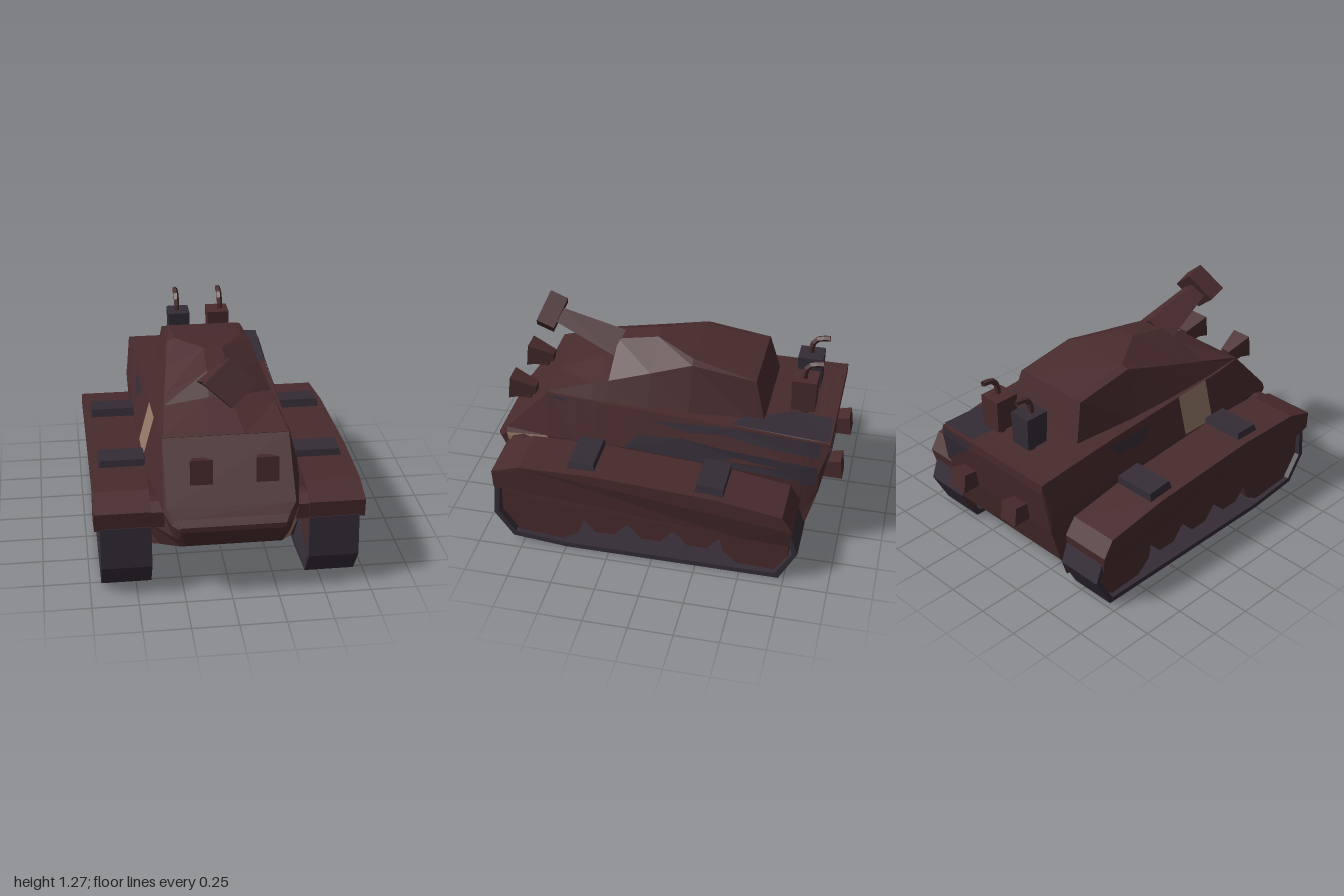
import * as THREE from 'three';

const paint = (name, color) => {
  const m = new THREE.MeshStandardMaterial({ color, flatShading: true, side: THREE.DoubleSide });
  m.name = name;
  return m;
};

export function createModel() {
  const root = new THREE.Group();
  const brown = paint('rust brown', 0x482b2d);
  const purple = paint('dark purple', 0x342c36);
  const tan = paint('tan', 0x957a68);
  const grey = paint('metal grey', 0xa6a6a0);

  const add = (name, geo, mat, x = 0, y = 0, z = 0) => {
    const g = geo.index ? geo.toNonIndexed() : geo;
    g.computeVertexNormals();
    const m = new THREE.Mesh(g, mat);
    m.name = name;
    m.position.set(x, y, z);
    root.add(m);
    return m;
  };

  // Mirrored cross-sections joined from back to front; each is [z, [x, y], ...] from bottom to top.
  // The rule gives each quad a material index, or -1 for an opening.
  const loft = (stations, rule = () => 0) => {
    const rings = stations.map(([z, ...h]) => [
      ...h.map(([x, y]) => [x, y, z]),
      ...h.slice().reverse().map(([x, y]) => [-x, y, z]),
    ]);
    const n = rings[0].length, idx = [], g = new THREE.BufferGeometry();
    const face = (mat, ...corners) => {
      g.addGroup(idx.length, corners.length, mat);
      idx.push(...corners);
    };
    for (let i = 0; i < rings.length - 1; i++)
      for (let j = 0; j < n; j++) {
        const a = i * n + j, b = i * n + (j + 1) % n, mat = rule(stations[i][0], j);
        if (mat >= 0) face(mat, a, b, b + n, a, b + n, a + n);
      }
    const last = (rings.length - 1) * n;
    for (let j = 1; j < n - 1; j++) face(0, 0, j + 1, j, last, last + j, last + j + 1);
    g.setAttribute('position', new THREE.Float32BufferAttribute(rings.flat(2), 3));
    g.setIndex(idx);
    return g;
  };

  const outline = (pts) => new THREE.Shape(pts.map(([a, b]) => new THREE.Vector2(a, b)));
  // Side profile given as [z, y], extruded between x0 and x1
  const sideExtrude = (pts, x0, x1) => {
    const g = new THREE.ExtrudeGeometry(outline(pts), { depth: x1 - x0, bevelEnabled: false });
    g.rotateY(-Math.PI / 2);
    g.translate(x1, 0, 0);
    return g;
  };
  // Flat outline laid onto a surface by a mapping rule, wound to face outward
  const plate = (name, mat, pts, map, turn) => {
    const g = new THREE.ShapeGeometry(outline(pts));
    const p = g.attributes.position;
    for (let i = 0; i < p.count; i++) p.setXYZ(i, ...map(p.getX(i), p.getY(i)));
    if (turn) g.setIndex([...g.index.array].reverse());
    add(name, g, mat);
  };
  // Four-sided tapered block along y, given full widths at bottom and top
  const block = (w0, d0, w1, d1, h) => {
    const g = new THREE.BoxGeometry(1, h, 1), p = g.attributes.position;
    for (let i = 0; i < p.count; i++) {
      const up = p.getY(i) > 0;
      p.setX(i, p.getX(i) * (up ? w1 : w0));
      p.setZ(i, p.getZ(i) * (up ? d1 : d0));
    }
    return g;
  };

  // Hull: bottom, low, belt and top edges
  const hull = [
    [-0.93, [0.39, 0.69], [0.4, 0.71], [0.405, 0.72], [0.405, 0.745]],
    [-0.88, [0.41, 0.42], [0.415, 0.46], [0.425, 0.56], [0.4, 0.746]],
    [-0.82, [0.415, 0.2], [0.415, 0.3], [0.432, 0.56], [0.398, 0.748]],
    [-0.78, [0.415, 0.08], [0.415, 0.19], [0.435, 0.56], [0.395, 0.75]],
    [-0.38, [0.415, 0.08], [0.415, 0.18], [0.43, 0.56], [0.376, 0.766]],
    [0.15, [0.415, 0.08], [0.415, 0.18], [0.425, 0.56], [0.364, 0.786]],
    [0.38, [0.415, 0.08], [0.415, 0.18], [0.422, 0.56], [0.358, 0.795]],
    [0.5, [0.415, 0.08], [0.415, 0.18], [0.42, 0.56], [0.355, 0.8]],
    [0.67, [0.36, 0.17], [0.41, 0.3], [0.4, 0.55], [0.34, 0.81]],
    [0.93, [0.27, 0.3], [0.31, 0.36], [0.355, 0.5], [0.34, 0.53]],
    [0.97, [0.25, 0.33], [0.28, 0.36], [0.32, 0.45], [0.3, 0.48]],
    [1.0, [0.27, 0.42], [0.28, 0.43], [0.28, 0.44], [0.28, 0.448]],
  ];
  // Open underneath; patches on the front corner, right wall and both lower walls
  add('hull', loft(hull, (z, j) => {
    if (j === 7 && z > -0.85 && z < 0.5) return -1;
    if ((z === 0.67 && j < 2) || (z === 0.15 && j === 4)) return 2;
    if (z === -0.38 || z === 0.15) return j === 0 ? 1 : j === 6 ? 3 : 0;
    return 0;
  }), [brown, purple, tan, grey]);

  // Superstructure: base edge, shoulder edge, crest edge
  add('turret', loft([
    [-0.55, [0.28, 0.72], [0.27, 0.75], [0.18, 0.75]],
    [-0.49, [0.28, 0.74], [0.235, 0.98], [0.19, 0.985]],
    [-0.13, [0.33, 0.75], [0.235, 1.033], [0.19, 1.05]],
    [0.1, [0.345, 0.76], [0.265, 0.968], [0.05, 1.075]],
    [0.33, [0.35, 0.77], [0.295, 0.905], [0.06, 1.037]],
    [0.42, [0.35, 0.78], [0.305, 0.882], [0.06, 0.92]],
    [0.67, [0.34, 0.79], [0.335, 0.812], [0.1, 0.812]],
  ]), brown);

  // Gun with square muzzle, edge upward
  const gun = new THREE.Group();
  gun.name = 'gun';
  for (const [name, r1, r0, len, at, wide] of [['barrel', 0.052, 0.098, 0.39, -0.225, 1.4], ['muzzle', 0.128, 0.128, 0.105, 0, 1.09]]) {
    const m = add(name, new THREE.CylinderGeometry(r1, r0, len, 4), brown, 0, at, 0);
    m.scale.x = wide;
    gun.add(m);
  }
  gun.position.set(0.013, 1.135, 0.725);
  gun.rotation.x = Math.PI / 2 - 0.38;
  root.add(gun);

  // Camouflage on the upper hull sides
  const sideX = (z, y) => {
    let i = 0;
    while (i < hull.length - 2 && z > hull[i + 1][0]) i++;
    const a = hull[i], b = hull[i + 1], t = (z - a[0]) / (b[0] - a[0]);
    const mix = (k, c) => a[k][c] + (b[k][c] - a[k][c]) * t;
    const s = Math.max(0, (y - mix(3, 1)) / (mix(4, 1) - mix(3, 1)));
    return mix(3, 0) + (mix(4, 0) - mix(3, 0)) * s + 0.007;
  };
  const onLeft = (z, y) => [sideX(z, y), y, z];
  const onRight = (z, y) => [-sideX(z, y), y, z];
  plate('lowerCamouflage', purple, [[0.22, 0.565], [0.14, 0.645], [-0.1, 0.66], [-0.35, 0.63], [-0.78, 0.605], [-0.78, 0.5], [-0.3, 0.53]], onLeft, true);
  plate('upperCamouflage', purple, [[0.08, 0.74], [-0.15, 0.7], [-0.35, 0.71], [-0.6, 0.67], [-0.78, 0.66], [-0.78, 0.745], [-0.4, 0.755]], onLeft, true);
  plate('rearLowerCamouflage', purple, [[-0.78, 0.605], [-0.87, 0.595], [-0.87, 0.48], [-0.78, 0.48]], onLeft, true);
  plate('rearUpperCamouflage', purple, [[-0.78, 0.745], [-0.88, 0.742], [-0.88, 0.65], [-0.78, 0.66]], onLeft, true);
  plate('frontCamouflage', purple, [[0.66, 0.79], [0.56, 0.775], [0.56, 0.795], [0.62, 0.803]], onLeft, true);
  plate('sideCamouflage', purple, [[-0.1, 0.73], [-0.2, 0.66], [-0.38, 0.68], [-0.42, 0.74]], onRight);
  plate('deckCamouflage', purple, [[0.17, -0.92], [0.15, -0.7], [0.29, -0.42], [0.37, -0.38], [0.395, -0.78], [0.4, -0.92]],
    (x, z) => [x, 0.756 + Math.max(0, z + 0.78) * 0.04, z], true);
  plate('rearCamouflage', purple, [[0.16, 0.735], [0.4, 0.735], [0.4, 0.69], [0.18, 0.69]], (x, y) => [x, y, -0.936], true);
  plate('rearLowPatch', purple, [[0.18, 0.69], [0.4, 0.69], [0.41, 0.5], [0.32, 0.58]],
    (x, y) => [x, y, -0.937 + (0.69 - y) * 0.185], true);

  // Running gear profiles as [z, y]
  const fender = [[0.895, 0.4], [0.9, 0.5], [0.74, 0.55], [0.33, 0.558], [-0.35, 0.515], [-0.73, 0.455], [-0.79, 0.36], [-0.77, 0.24], [-0.5, 0.25], [0.65, 0.335]];
  const fenderRoot = [[0.885, 0.4], [0.89, 0.49], [0.82, 0.52], [0.72, 0.5], [0.72, 0.38]];
  const trackOuter = [[0.9, 0.41], [0.915, 0.18], [0.81, 0.03], [0.5, 0], [-0.72, 0], [-0.82, 0.19], [-0.77, 0.33]];
  const trackInner = [[0.87, 0.41], [0.885, 0.19], [0.795, 0.06], [0.5, 0.03], [-0.7, 0.03], [-0.79, 0.19], [-0.74, 0.33]];
  const wheels = [[0.865, 0.42], [0.87, 0.2], [0.775, 0.065], [0.52, 0.045], [0.43, 0.1], [0.395, 0.2]];
  for (const c of [0.275, 0.01, -0.255])
    wheels.push([c + 0.12, 0.2], [c + 0.055, 0.122], [c - 0.055, 0.122], [c - 0.12, 0.2]);
  wheels.push([-0.385, 0.2], [-0.4, 0.12], [-0.48, 0.05], [-0.69, 0.04], [-0.765, 0.15], [-0.76, 0.34], [0.33, 0.45]);

  for (const s of [1, -1]) {
    const side = s > 0 ? 'left' : 'right';
    const span = (a, b) => (s > 0 ? [a, b] : [-b, -a]);
    // Fender, its low rear edge drawn in to the track
    const f = sideExtrude(fender, ...span(0.42, 0.72)), p = f.attributes.position;
    for (let i = 0; i < p.count; i++)
      if (p.getY(i) < 0.3 && Math.abs(p.getX(i)) > 0.7) p.setX(i, s * 0.692);
    add(side + 'Fender', f, brown);
    add(side + 'FenderRoot', sideExtrude(fenderRoot, ...span(0.35, 0.425)), brown);
    add(side + 'Track', sideExtrude([...trackOuter, ...trackInner.slice().reverse()], ...span(0.42, 0.69)), purple);
    add(side + 'Wheels', sideExtrude(wheels, ...span(0.47, 0.67)), brown);
    // Fender storage boxes
    add(side + 'FrontStowage', block(0.27, 0.16, 0.24, 0.14, 0.05), purple, s * 0.54, 0.567, 0.4);
    add(side + 'RearStowage', block(0.27, 0.165, 0.24, 0.15, 0.06), purple, s * 0.55, 0.53, -0.32).rotation.x = -0.1;

    // Headlamp: tapered block widening forward, on a small foot
    const lx = s > 0 ? 0.185 : -0.16;
    add(side + 'Headlamp', block(0.06, 0.05, 0.12, 0.135, 0.15), brown, lx, 0.725, 0.86).rotation.x = Math.PI / 2 - 0.1;
    add(side + 'LampFoot', new THREE.BoxGeometry(0.05, 0.04, 0.08), brown, lx, 0.675, 0.86);

    // Exhaust stack with bent pipe
    const ex = s > 0 ? 0.13 : -0.11;
    add(side + 'Exhaust', block(0.12, 0.13, 0.13, 0.14, 0.19), s > 0 ? brown : purple, ex, 0.89, -0.745);
    add(side + 'ExhaustStem', new THREE.CylinderGeometry(0.03, 0.03, 0.06, 6), brown, ex, 0.785, -0.745);
    const bend = new THREE.CatmullRomCurve3([[0.98, -0.74], [1.04, -0.745], [1.075, -0.775], [1.085, -0.84]]
      .map(([y, z]) => new THREE.Vector3(ex + (s > 0 ? 0.015 : -0.01), y, z)));
    add(side + 'ExhaustPipe', new THREE.TubeGeometry(bend, 5, 0.017, 5), brown);

    // Rear lamp housing
    add(side + 'RearLamp', block(0.09, 0.1, 0.115, 0.115, 0.12), brown, s > 0 ? 0.225 : -0.195, 0.482, -0.93).rotation.x = -Math.PI / 2 + 0.12;
  }

  return root;
}
